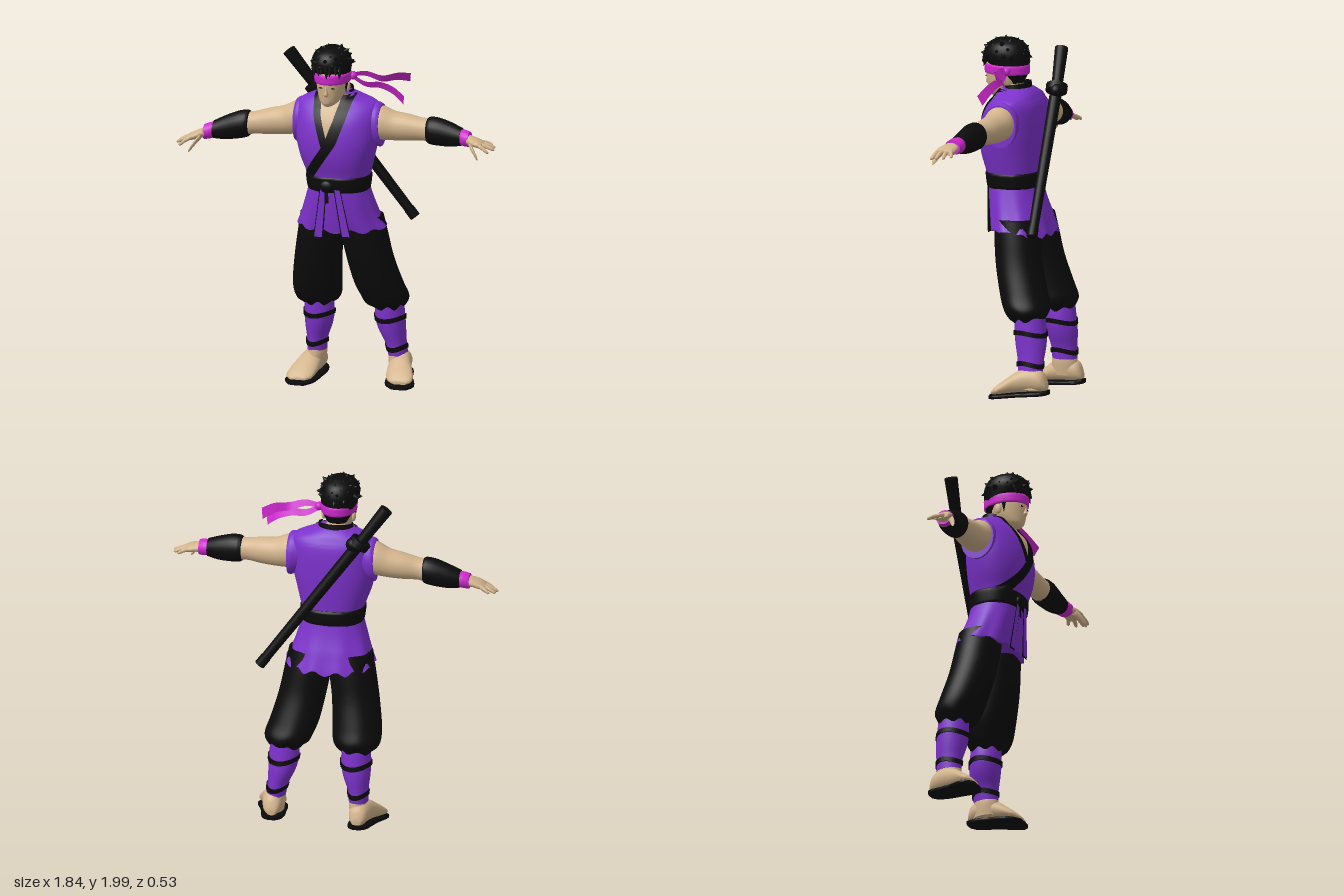
import * as THREE from 'three';
import { toCreasedNormals } from 'three/addons/utils/BufferGeometryUtils.js';

const mat = (name, color) => Object.assign(new THREE.MeshStandardMaterial({ color, side: THREE.DoubleSide }), { name });
const purple = mat('purple cloth', 0x7c32cb), black = mat('black cloth', 0x0b0b0b);
const magenta = mat('magenta cloth', 0xcf28cf), skin = mat('skin', 0xd2b48c);
const V = (x, y, z) => new THREE.Vector3(x, y, z);

// Smoothly resamples cross-sections [position, centre1, centre2, radius1, radius2]
function dense(rows, n = 5) {
  const out = [], last = rows.length - 1;
  for (let k = 0; k <= last * n; k++) {
    const i = Math.min(Math.floor(k / n), last - 1), t = k / n - i;
    const [a, b, c, d] = [i - 1, i, i + 1, i + 2].map(j => rows[Math.min(Math.max(j, 0), last)]);
    out.push(b.map((_, q) => 0.5 * (2 * b[q] + (c[q] - a[q]) * t + (2 * a[q] - 5 * b[q] + 4 * c[q] - d[q]) * t * t
      + (3 * b[q] - a[q] - 3 * c[q] + d[q]) * t * t * t)));
  }
  return out;
}

// Cross-section of a resampled body at a given height
function sectionAt(rows, y) {
  const up = rows[0][0] < rows[rows.length - 1][0] ? rows : [...rows].reverse();
  let i = 0;
  while (i < up.length - 2 && up[i + 1][0] < y) i++;
  const t = THREE.MathUtils.clamp((y - up[i][0]) / (up[i + 1][0] - up[i][0]), 0, 1);
  return up[i].map((a, q) => a + (up[i + 1][q] - a) * t);
}

// Closed body through rounded cross-sections along an axis
function loft(rows, axis = 'y', { seg = 28, n = 5, e = 1, warp } = {}) {
  const rings = dense(rows, n), pos = [], idx = [];
  const bend = v => Math.sign(v) * Math.abs(v) ** e;
  const put = (a, b, c) => axis === 'y' ? V(b, a, c) : axis === 'x' ? V(a, b, c) : V(b, c, a);
  rings.forEach(([a, b, c, r, q], k) => {
    for (let i = 0; i < seg; i++) {
      const g = i / seg * Math.PI * 2, p = put(a, b + r * bend(Math.cos(g)), c + q * bend(Math.sin(g)));
      if (warp) warp(p, g, k / (rings.length - 1));
      pos.push(p);
    }
  });
  const m = rings.length - 1, c0 = pos.length;
  pos.push(put(...rings[0]), put(...rings[m]));
  for (let i = 0; i < seg; i++) {
    const j = (i + 1) % seg;
    for (let k = 0; k < m; k++) {
      const A = k * seg + i, B = k * seg + j;
      idx.push(A, B, A + seg, B, B + seg, A + seg);
    }
    idx.push(c0, j, i, c0 + 1, m * seg + i, m * seg + j);
  }
  // Turn the faces outwards
  let volume = 0;
  for (let i = 0; i < idx.length; i += 3) volume += pos[idx[i]].dot(pos[idx[i + 1]].clone().cross(pos[idx[i + 2]]));
  if (volume < 0) idx.reverse();
  const geo = new THREE.BufferGeometry().setFromPoints(pos);
  geo.setIndex(idx);
  return toCreasedNormals(geo, 0.9);
}

// Open cloth sheet from a rule of (u, v)
function sheet(fn, nu = 14, nv = 4) {
  const geo = new THREE.PlaneGeometry(1, 1, nu, nv), p = geo.attributes.position;
  for (let i = 0; i < p.count; i++) p.setXYZ(i, ...fn(p.getX(i) + 0.5, 0.5 - p.getY(i)));
  geo.computeVertexNormals();
  return geo;
}

// Cylinder between two points
function rod(a, b, ra, rb = ra) {
  const d = b.clone().sub(a), geo = new THREE.CylinderGeometry(rb, ra, d.length(), 16);
  geo.applyQuaternion(new THREE.Quaternion().setFromUnitVectors(V(0, 1, 0), d.clone().normalize()));
  const mid = a.clone().lerp(b, 0.5);
  return geo.translate(mid.x, mid.y, mid.z);
}

export function createModel() {
  const model = new THREE.Group();
  const add = (name, geo, material) => {
    const m = new THREE.Mesh(geo, material);
    m.name = name;
    model.add(m);
    return m;
  };
  const ball = (name, x, y, z, rx, ry, rz, m) => add(name, new THREE.SphereGeometry(1, 20, 14).scale(rx, ry, rz).translate(x, y, z), m);

  // Jacket
  const torso = [[1.17, 0, .055, .16, .14], [1.25, 0, .06, .178, .148], [1.35, -.005, .07, .208, .165], [1.45, -.005, .07, .23, .17],
    [1.55, -.003, .062, .237, .16], [1.62, -.003, .05, .236, .138], [1.66, -.005, .042, .215, .112], [1.69, -.01, .043, .15, .095], [1.715, -.015, .05, .095, .075]];
  add('jacket', loft(torso, 'y', { seg: 48, e: .87 }), purple);
  const torsoRows = dense(torso);
  const front = (x, y, lift) => {
    const [, cx, cz, rx, rz] = sectionAt(torsoRows, y), f = Math.min(Math.abs((x - cx) / rx), 1);
    return [x, y, cz + rz * (1 - f ** 2.3) ** (1 / 2.3) + lift];
  };

  // Open chest and crossing lapels
  const line = (pts, y) => {
    let i = 0;
    while (i < pts.length - 2 && y < pts[i + 1][1]) i++;
    return THREE.MathUtils.lerp(pts[i][0], pts[i + 1][0], (pts[i][1] - y) / (pts[i][1] - pts[i + 1][1]));
  };
  const longEdge = [[.075, 1.71], [.045, 1.58], [0, 1.45], [-.075, 1.34], [-.145, 1.24]];
  const shortEdge = [[-.105, 1.71], [-.085, 1.6], [-.03, 1.43]];
  add('chest', sheet((u, v) => {
    const y = 1.71 - .28 * u;
    return front(THREE.MathUtils.lerp(line(shortEdge, y), line(longEdge, y), v), y, .005);
  }, 24, 8), skin);
  const lapel = (name, edge, end, half, lift) => add(name, sheet((u, v) => {
    const y = 1.71 + (end - 1.71) * u;
    return front(line(edge, y) + (v - .5) * 2 * half, y, lift);
  }, 28, 4), black);
  lapel('shortLapel', shortEdge, 1.43, .022, .009);
  lapel('longLapel', longEdge, 1.24, .034, .013);
  add('collar', sheet((u, v) => {
    const a = (u - .5) * 4.2, r = 1 - .12 * v;
    return [-.015 + .108 * r * Math.sin(a), 1.655 + .09 * v - .004 * a * a, .052 - .085 * r * Math.cos(a)];
  }, 24, 3), black);

  // Skirt with folds and a ragged hem
  add('skirt', loft([[1.2, 0, .055, .162, .14], [1.1, 0, .04, .19, .147], [1.0, 0, .015, .222, .157], [.94, .003, -.005, .25, .162]], 'y', {
    seg: 72, e: .9, warp: (p, g, t) => {
      const f = 1 + .03 * t * Math.sin(g * 9);
      p.x *= f;
      p.z *= f;
      const back = Math.max(0, -Math.sin(g)), fore = Math.max(0, Math.sin(g));
      if (t > .6) p.y -= (t - .6) * (back * (.05 + .08 * Math.sin(g * 7) ** 2) + fore * .06 * Math.sin(g * 5) ** 2);
    }
  }), purple);

  // Belt, knot and hanging ends
  add('belt', loft([[1.16, 0, .055, .17, .142], [1.175, 0, .055, .176, .15], [1.235, 0, .057, .183, .154], [1.25, 0, .057, .176, .148]], 'y', { seg: 40, e: .87 }), black);
  ball('beltKnot', -.03, 1.195, .205, .04, .035, .02, black);
  const tail = (name, x0, x1, y1, z1, w, m) => add(name, sheet((u, v) =>
    [x0 + (x1 - x0) * u + (v - .5) * w * (.7 + .3 * u), 1.18 + (y1 - 1.18) * u, .205 + (z1 - .205) * u], 8, 1), m);
  for (const [x0, x1, y1, z1] of [[-.05, -.085, .9, .18], [.03, .075, .91, .178]]) {
    tail('beltEndEdge', x0, x1, y1 - .008, z1, .056, black);
    tail('beltEnd', x0, x1, y1, z1 + .005, .044, purple);
  }
  tail('shortBeltEnd', -.03, -.03, 1.1, .205, .025, black);

  // Head and face
  add('neck', rod(V(-.015, 1.6, .055), V(-.02, 1.77, .095), .065, .06), skin);
  add('head', loft([[1.655, -.027, .185, .02, .025], [1.675, -.025, .16, .05, .062], [1.72, -.022, .132, .073, .098], [1.78, -.02, .12, .086, .117],
    [1.84, -.02, .115, .09, .12], [1.9, -.02, .11, .08, .11], [1.95, -.02, .11, .05, .07]], 'y', { seg: 32 }), skin);
  add('nose', loft([[1.715, -.025, .222, .008, .008], [1.727, -.025, .23, .014, .016], [1.75, -.023, .23, .009, .012], [1.785, -.022, .228, .007, .008]], 'y', { seg: 12 }), skin);
  for (const s of [-1, 1]) {
    ball('ear', -.02 + s * .085, 1.755, .105, .012, .03, .02, skin);
    ball('eye', -.022 + s * .033, 1.766, .2275, .013, .004, .004, black).rotation.z = 0;
    add('sideburn', new THREE.ConeGeometry(.016, .075, 6).rotateX(Math.PI).translate(-.02 + s * .084, 1.765, .14), black);
  }

  // Headband and its streaming ends
  add('headband', loft([[1.785, -.02, .115, .094, .124], [1.79, -.02, .115, .099, .129], [1.832, -.02, .115, .102, .131], [1.838, -.02, .115, .096, .126]], 'y', { seg: 36 }), magenta);
  ball('headbandKnot', .085, 1.81, .075, .024, .024, .024, magenta);
  const streamer = pts => {
    const curve = new THREE.CatmullRomCurve3(pts.map(p => V(...p)));
    add('headbandEnd', sheet((u, v) => {
      const p = curve.getPoint(u), w = (v - .5) * (.025 + .03 * u);
      return [p.x + w * .2, p.y + w, p.z + w * .5];
    }, 24, 2), magenta);
  };
  streamer([[.08, 1.815, .075], [.16, 1.825, .07], [.25, 1.8, .06], [.32, 1.805, .01], [.38, 1.79, -.05]]);
  streamer([[.08, 1.805, .075], [.16, 1.765, .075], [.24, 1.765, .07], [.32, 1.74, .08], [.385, 1.695, .1]]);

  // Spiky hair
  add('hair', loft([[1.735, -.02, .06, .055, .04], [1.79, -.02, .075, .086, .08], [1.845, -.023, .11, .102, .122], [1.9, -.025, .12, .11, .13],
    [1.95, -.025, .12, .09, .105], [1.978, -.025, .12, .045, .055]], 'y', { seg: 28 }), black);
  const spike = (from, to, r) => add('hairSpike', rod(from, to, r, .001), black);
  for (let i = 0; i < 44; i++) {
    const h = -.15 + 1.1 * (i + .5) / 44, a = i * 2.4, q = Math.sqrt(1 - h * h);
    const d = V(Math.cos(a) * q, h, Math.sin(a) * q), k = 1.06 + .07 * ((i * 7) % 5) / 4;
    const at = f => V(-.025 + d.x * .113 * f, 1.88 + d.y * .105 * f, .12 + d.z * .132 * f);
    spike(at(.75), at(k).add(V(.012 * Math.sin(i * 3), q * .014 * Math.cos(i * 5), 0)), .03);
  }
  for (let i = 0; i < 7; i++) {
    const x = -.1 + i * .025, z = .115 + .14 * Math.sqrt(1 - ((x + .02) / .12) ** 2);
    spike(V(x, 1.885, z - .025), V(x + .01 * (i % 2), 1.825 + .01 * (i % 3), z), .022);
  }

  // Arms: the right one hangs slightly lower
  for (const s of [1, -1]) {
    const drop = s > 0 ? 0 : .13, side = s > 0 ? 'left' : 'right';
    const limb = (name, rows, m, seg = 24) => add(side + name,
      loft(rows.map(([x, y, z, a, b]) => [s * x, y - drop * Math.max(0, x - .22), z, a, b]), 'x', { seg }), m);
    limb('Armhole', [[.16, 1.55, .045, .1, .09], [.22, 1.537, .045, .124, .103], [.245, 1.53, .045, .12, .1]], purple);
    limb('Arm', [[.15, 1.55, .045, .09, .085], [.24, 1.545, .045, .096, .09], [.32, 1.532, .045, .082, .078], [.4, 1.53, .05, .075, .07],
      [.48, 1.528, .058, .064, .06], [.54, 1.525, .06, .066, .062]], skin);
    limb('ForearmWrap', [[.513, 1.525, .06, .068, .06], [.53, 1.525, .062, .077, .068], [.58, 1.522, .066, .078, .068], [.65, 1.513, .072, .068, .06], [.715, 1.507, .082, .05, .05]], black);
    limb('Wristband', [[.705, 1.506, .082, .043, .044], [.735, 1.503, .088, .046, .048], [.765, 1.5, .095, .042, .046]], magenta);
    limb('Palm', [[.74, 1.5, .093, .03, .035], [.785, 1.494, .108, .026, .05], [.825, 1.485, .115, .022, .054], [.848, 1.48, .117, .014, .048]], skin);
    [[.885, 1.468, .055, .078], [.912, 1.463, .09, .103], [.918, 1.46, .13, .128], [.895, 1.452, .168, .152]].forEach(([x, y, z, z0]) =>
      limb('Finger', [[.82, 1.486, z0, .013, .013], [(x + .82) / 2, (y + 1.49) / 2, (z + z0) / 2, .0125, .0125], [x - .012, y + .002, z, .01, .01], [x, y, z, .003, .003]], skin, 10));
    limb('Thumb', [[.775, 1.488, .135, .02, .018], [.8, 1.458, .162, .016, .015], [.825, 1.425, .18, .012, .012], [.835, 1.41, .185, .004, .004]], skin, 10);
  }

  // Legs: baggy trousers, bound calves, bare feet on soles
  const leg = (side, thigh, calf, foot, lift) => {
    const trouser = [[1.0, 0, .12, .12], [.9, -.012, .13, .128], [.75, -.035, .132, .13], [.6, -.078, .137, .133],
      [.52, -.108, .134, .13], [.475, -.115, .112, .11], [.452, -.125, .075, .085]];
    add(side + 'Trouser', loft(trouser.map(([y, z, a, b], i) => [y, thigh[i], z, a, b]), 'y', {
      seg: 40, warp: (p, g, t) => { p.y += .012 * t * t * Math.sin(g * 6); }
    }), black);
    const shin = [[.5, -.135, .075, .085], [.4, -.14, .084, .09], [.32, -.148, .076, .088], [.24, -.155, .058, .076], [.17, -.157, .054, .072]]
      .map(([y, z, a, b], i) => [y, calf[i], z, a, b]);
    add(side + 'CalfWrap', loft(shin), purple);
    for (const y of [.385, .215]) {
      const band = [-.013, .013].map(d => { const [, x, z, a, b] = sectionAt(dense(shin), y + d); return [y + d, x, z, a + .006, b + .006]; });
      add(side + 'CalfStrap', loft(band, 'y', { warp: (p, g) => { p.y += .009 * Math.sin(g * 2 + 1); } }), black);
    }
    add(side + 'Ankle', loft([[.2, calf[4], -.157, .05, .068], [.15, calf[4], -.157, .053, .075], [.08, foot[1], -.16, .055, .08]]), skin);
    const shape = [[-.262, .075, .025, .02], [-.235, .1, .048, .055], [-.17, .108, .06, .068], [-.1, .095, .066, .062],
      [-.04, .07, .076, .045], [.01, .047, .074, .028], [.036, .035, .045, .013]];
    add(side + 'Foot', loft(shape.map(([z, y, a, b], i) => [z, foot[i], y + lift, a, b]), 'z'), skin);
    add(side + 'Sole', loft(shape.map(([z, , a], i) => [z + (i === 0 ? -.005 : i === 6 ? .01 : 0), foot[i], .047 - i * .0055 + lift * .8, a + .008, .014]), 'z', { e: .5 }), black);
  };
  leg('left', [.115, .125, .152, .188, .216, .22, .23], [.235, .235, .245, .265, .277], [.285, .287, .292, .305, .32, .332, .337], .022);
  leg('right', [-.115, -.122, -.146, -.165, -.17, -.172, -.174], [-.173, -.172, -.177, -.187, -.19], [-.198, -.2, -.205, -.218, -.234, -.245, -.25], 0);

  // Sword slung across the back
  const top = V(-.33, 1.885, -.075), guard = V(-.185, 1.685, -.11), tip = V(.36, .95, -.205);
  add('swordHandle', rod(guard, top, .03, .037), black);
  add('scabbard', rod(tip, guard, .027, .034), black);
  add('scabbardTip', rod(tip, tip.clone().lerp(guard, .06), .03), black);
  const axis = guard.clone().sub(top).normalize().multiplyScalar(.02);
  add('swordGuard', rod(guard.clone().sub(axis), guard.clone().add(axis), .06), black);
  ball('swordCord', -.16, 1.68, -.125, .05, .042, .04, black);
  return model;
}
